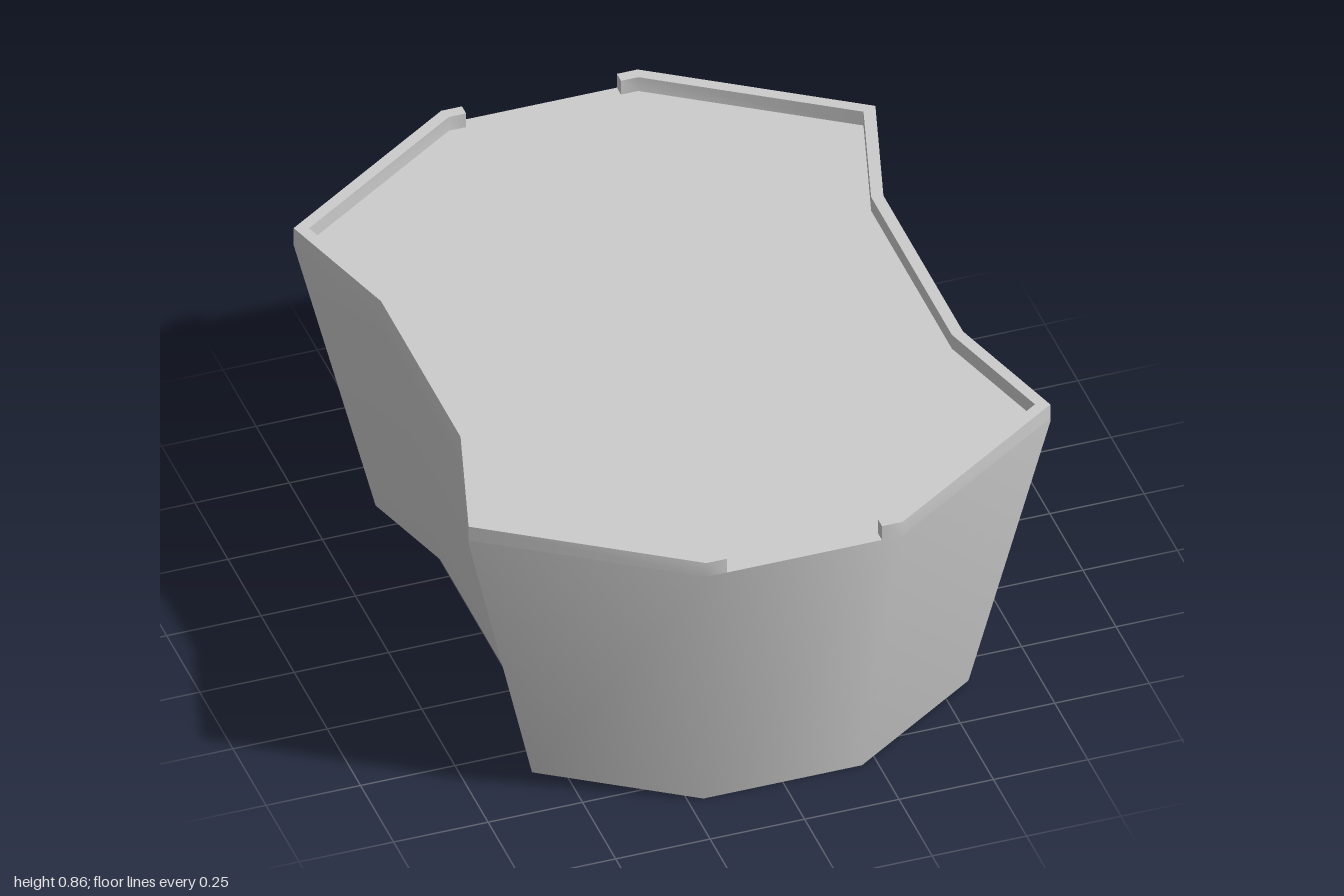
import * as THREE from 'three';
import { toCreasedNormals } from 'three/addons/utils/BufferGeometryUtils.js';

const FLOOR = 0.82, TOP = 0.863, NOTCH = 0.205;
const CREASE = Math.PI / 4;

// Right half of the waisted plan, counter-clockwise; the other half is its half-turn
const half = [[0.26, -1], [0.77, -0.66], [0.665, -0.3], [0.665, 0.3], [0.77, 0.66], [0.26, 1]]
  .map(([x, y]) => new THREE.Vector2(x, y));
const outline = [...half, ...half.map((p) => p.clone().negate())];

// Move every edge of a closed counter-clockwise outline inwards by d
function inset(pts, d) {
  const n = pts.length;
  const normal = (a, b) => new THREE.Vector2(b.y - a.y, a.x - b.x).normalize();
  return pts.map((p, i) => {
    const n1 = normal(pts[(i + n - 1) % n], p);
    const n2 = normal(p, pts[(i + 1) % n]);
    const s = n1.clone().add(n2).multiplyScalar(d / (1 + n1.dot(n2)));
    return p.clone().sub(s);
  });
}

// Closed solid through a stack of outlines, z up
function loft(rings) {
  const n = rings[0].pts.length, pos = [], idx = [];
  rings.forEach(({ pts, h }) => pts.forEach((p) => pos.push(p.x, p.y, h)));
  for (let k = 0; k < rings.length - 1; k++) {
    for (let j = 0; j < n; j++) {
      const a = k * n + j, b = k * n + (j + 1) % n;
      idx.push(a, b, b + n, a, b + n, a + n);
    }
  }
  const last = (rings.length - 1) * n;
  THREE.ShapeUtils.triangulateShape(rings[0].pts, []).forEach(([a, b, c]) => idx.push(c, b, a));
  THREE.ShapeUtils.triangulateShape(rings[rings.length - 1].pts, [])
    .forEach(([a, b, c]) => idx.push(a + last, b + last, c + last));
  const g = new THREE.BufferGeometry();
  g.setAttribute('position', new THREE.Float32BufferAttribute(pos, 3));
  g.setIndex(idx);
  return g;
}

export function createModel() {
  const model = new THREE.Group();
  model.name = 'taperedTray';
  const material = new THREE.MeshStandardMaterial({ color: 0xcccccc });

  const add = (name, geometry) => {
    geometry.rotateX(-Math.PI / 2);
    const mesh = new THREE.Mesh(toCreasedNormals(geometry, CREASE), material);
    mesh.name = name;
    model.add(mesh);
    return mesh;
  };

  // Tapered body with a short upright band under the floor level
  add('body', loft([
    { pts: inset(outline, 0.165), h: 0 },
    { pts: outline, h: 0.81 },
    { pts: outline, h: FLOOR },
  ]));

  // Two raised rims, leaving a notch at the front and back
  const inner = inset(outline, 0.031).slice(0, half.length);
  const end = inner[inner.length - 1].y;
  const rimShape = new THREE.Shape([
    new THREE.Vector2(NOTCH, -1), ...half, new THREE.Vector2(NOTCH, 1),
    new THREE.Vector2(NOTCH, end), ...inner.reverse(), new THREE.Vector2(NOTCH, -end),
  ]);
  for (const [name, turn] of [['leftRim', 0], ['rightRim', Math.PI]]) {
    const g = new THREE.ExtrudeGeometry(rimShape, { depth: TOP - FLOOR, bevelEnabled: false });
    const rim = add(name, g);
    rim.position.y = FLOOR;
    rim.rotation.y = turn;
  }

  return model;
}
